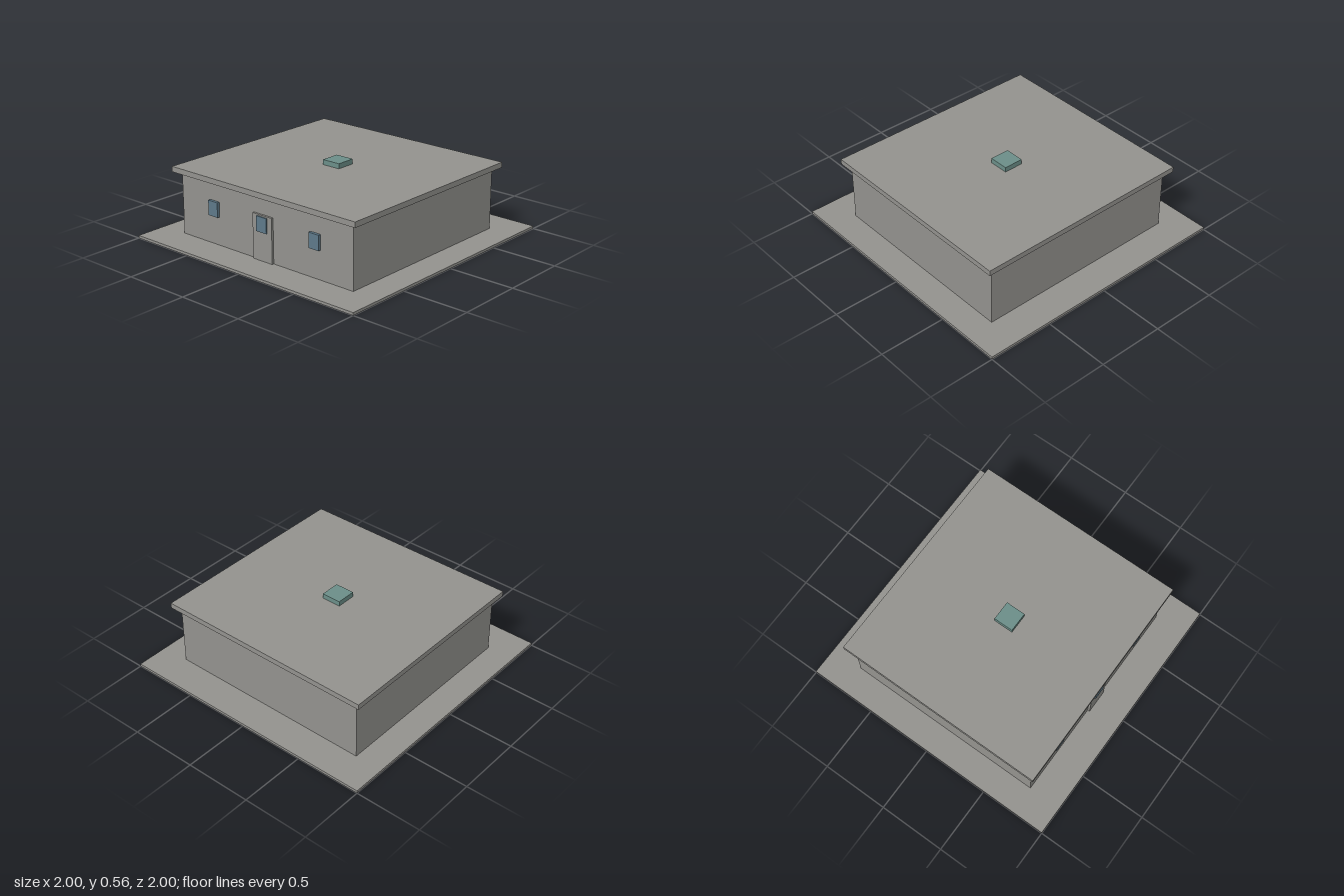
import * as THREE from 'three';

export function createModel() {
  const model = new THREE.Group();
  const material = (name, color) => {
    const m = new THREE.MeshStandardMaterial({ color });
    m.name = name;
    return m;
  };
  const concrete = material('concrete grey', 0x94938f);
  const glass = material('window blue', 0x5f7a8a);
  const skylightGlass = material('skylight green', 0x6c8f89);

  // Box given by its minimum and maximum corners
  const box = (name, mat, [x0, y0, z0], [x1, y1, z1]) => {
    const mesh = new THREE.Mesh(new THREE.BoxGeometry(x1 - x0, y1 - y0, z1 - z0), mat);
    mesh.name = name;
    mesh.position.set((x0 + x1) / 2, (y0 + y1) / 2, (z0 + z1) / 2);
    model.add(mesh);
  };

  // Ground slab, walls and overhanging flat roof
  box('baseSlab', concrete, [-1, 0, -1], [1, 0.02, 1]);
  box('walls', concrete, [-0.79, 0.02, -0.753], [0.79, 0.48, 0.753]);
  box('roof', concrete, [-0.842, 0.48, -0.8], [0.842, 0.52, 0.8]);
  box('skylight', skylightGlass, [-0.074, 0.52, -0.074], [0.074, 0.557, 0.074]);

  // Door with its own pane
  box('door', concrete, [-0.088, 0.02, 0.753], [0.088, 0.35, 0.769]);
  box('doorWindow', glass, [-0.047, 0.23, 0.769], [0.047, 0.34, 0.778]);

  // Windows on both sides of the door
  for (const side of [-1, 1]) {
    const x = side * 0.468;
    box(side > 0 ? 'leftWindow' : 'rightWindow', glass, [x - 0.044, 0.23, 0.753], [x + 0.044, 0.34, 0.774]);
  }
  return model;
}
